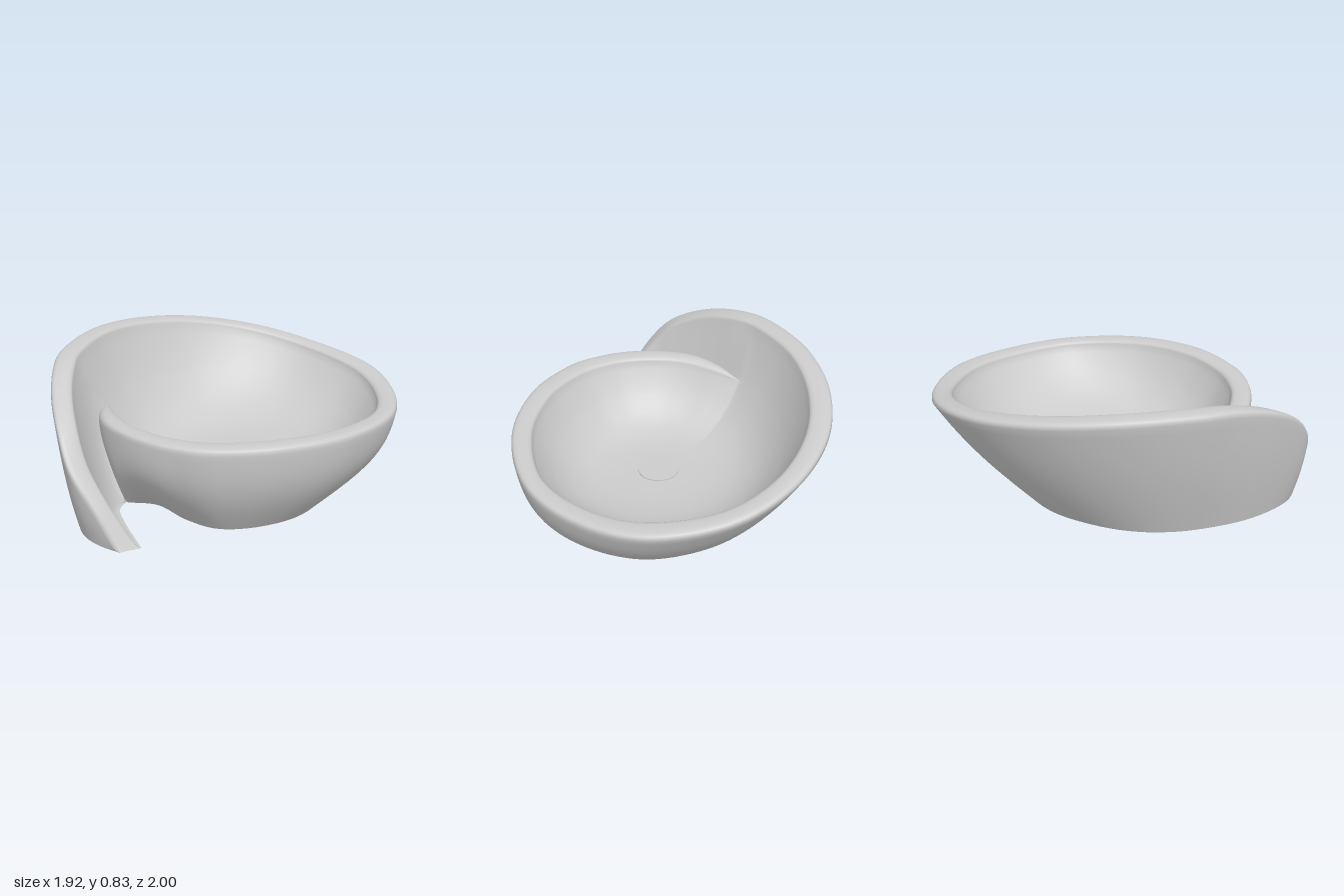
import * as THREE from 'three';
import { mergeVertices } from 'three/addons/utils/BufferGeometryUtils.js';

const material = new THREE.MeshStandardMaterial({ color: 0xcccccc, side: THREE.DoubleSide });

// Spiral stations: base x,z | outer rim x,z | inner rim x,z | rim height
const bowlRows = [
  [-0.68, 0.24, -0.70, 0.28, -0.64, 0.23, 0.53],
  [-0.62, 0.35, -0.65, 0.44, -0.55, 0.40, 0.555],
  [-0.53, 0.41, -0.55, 0.58, -0.44, 0.53, 0.56],
  [-0.34, 0.42, -0.38, 0.72, -0.30, 0.63, 0.565],
  [-0.15, 0.57, -0.19, 0.81, -0.16, 0.69, 0.57],
  [0.05, 0.65, 0.05, 0.845, 0.05, 0.715, 0.575],
  [0.28, 0.58, 0.40, 0.755, 0.34, 0.64, 0.58],
  [0.48, 0.40, 0.73, 0.50, 0.63, 0.43, 0.565],
  [0.59, 0.10, 0.94, 0.10, 0.83, 0.08, 0.54],
  [0.56, -0.15, 0.935, -0.31, 0.815, -0.29, 0.535],
  [0.42, -0.37, 0.76, -0.69, 0.66, -0.60, 0.555],
  [0.18, -0.50, 0.39, -0.94, 0.34, -0.83, 0.595],
  [-0.05, -0.52, 0.00, -1.00, 0.00, -0.88, 0.665],
  [-0.30, -0.45, -0.38, -0.89, -0.33, -0.77, 0.735],
  [-0.52, -0.28, -0.68, -0.64, -0.59, -0.54, 0.79],
  [-0.66, -0.10, -0.88, -0.29, -0.76, -0.24, 0.825],
  [-0.74, 0.10, -0.96, 0.10, -0.83, 0.10, 0.825],
];
const tailRows = [
  [-0.77, 0.30, -0.94, 0.35, -0.82, 0.31, 0.80],
  [-0.77, 0.50, -0.88, 0.59, -0.775, 0.53, 0.73],
  [-0.73, 0.69, -0.79, 0.80, -0.70, 0.72, 0.61],
  [-0.66, 0.84, -0.70, 0.92, -0.62, 0.83, 0.45],
  [-0.55, 0.94, -0.56, 0.97, -0.49, 0.90, 0.25],
  [-0.42, 1.00, -0.42, 1.00, -0.33, 0.93, 0.02],
];
const V = (x, y, z) => new THREE.Vector3(x, y, z);
const { lerp, clamp, smoothstep } = THREE.MathUtils;
const FLOOR = 0.18, GROUND = 0.02, CX = -0.005, CZ = 0.07, EDGE = 0.843, CURVE = 4;
const WALL = 14, RIM = 10, UPPER = 8, LOWER = 16, STEP = 8;

// The spiral starts on the bowl wall, at fraction EDGE of the last bowl station
const [, , , , wallX, wallZ, wallY] = bowlRows.at(-1);
const START = V(lerp(CX, wallX, EDGE), FLOOR + (wallY - 0.04 - FLOOR) * EDGE ** CURVE, lerp(CZ, wallZ, EDGE));
const startRow = [START.x, START.z, START.x, START.z, START.x, START.z, START.y];
const rows = [startRow, ...bowlRows, ...tailRows];
const SPLIT = bowlRows.length, END = rows.length - 1;

// Open edge of the channel, from the notch out to the tail tip
const notchEdge = new THREE.CatmullRomCurve3([
  V(-0.53, GROUND, 0.41), V(-0.54, GROUND, 0.51), V(-0.48, GROUND, 0.65), V(-0.32, GROUND, 0.93)]);

// Catmull-Rom between stations
function station(u) {
  const i = Math.min(Math.floor(u), END - 1), t = u - i;
  const row = k => rows[clamp(k, 0, END)];
  return row(i).map((b, c) => {
    const a = row(i - 1)[c], d = row(i + 1)[c], e = row(i + 2)[c];
    return b + 0.5 * t * (d - a + t * (2 * a - 5 * b + 4 * d - e + t * (3 * (b - d) + e - a)));
  });
}

// Lowest outer point; the first stations climb the channel valley
function basePoint(u) {
  const s = station(u);
  return V(s[0], lerp(START.y, GROUND, Math.min(1, u / 3) ** 1.6), s[1]);
}

// Where the tail's inner face ends: in the valley, then along the notch
const footPoint = k => k <= 3 ? basePoint(k) : notchEdge.getPoint((k - 3) / 3);

function rimShape(u) {
  const [, , ox, oz, ix, iz, y] = station(u);
  const width = Math.hypot(ox - ix, oz - iz);
  const h = Math.min(0.04, width * 0.4, Math.max(0, y - GROUND) * 0.8);
  return { outer: V(ox, y - h, oz), inner: V(ix, y - h, iz), h, width };
}

// Bulged outer wall, t from base to rim
function wallPoint(u, t) {
  const base = basePoint(u), { outer } = rimShape(u);
  const bulge = u < 9 ? lerp(0.32, 0.24, smoothstep(u, 4, 6))
    : lerp(0.24, 0.07, smoothstep(u, 9, 13)) + 0.06 * smoothstep(u, 16, 19);
  const f = t + bulge * Math.sin(Math.PI * t);
  return V(lerp(base.x, outer.x, f), lerp(base.y, outer.y, t), lerp(base.z, outer.z, f));
}

// Bowl surface, s from centre to inner rim
function bowlPoint(u, s) {
  const { inner } = rimShape(u);
  return V(lerp(CX, inner.x, s), FLOOR + (inner.y - FLOOR) * s ** CURVE, lerp(CZ, inner.z, s));
}

// Full cross-section: outer wall, rounded rim, inner wall, bowl floor
function section(u) {
  const pts = [], { outer, inner, h } = rimShape(u);
  const round = lerp(1, 0.65, smoothstep(u, 1, 4));
  for (let j = 0; j < WALL; j++) pts.push(wallPoint(u, j / WALL));
  for (let j = 0; j < RIM; j++) {
    const a = Math.PI * j / RIM, c = Math.cos(a);
    const p = outer.clone().lerp(inner, (1 - Math.sign(c) * Math.abs(c) ** round) / 2);
    p.y += h * Math.sin(a) ** round;
    pts.push(p);
  }
  const k = u - SPLIT, edge = lerp(1, EDGE, Math.min(1, u / 2));
  for (let j = 0; j <= UPPER + LOWER; j++) {
    if (k > 0) {
      const s = Math.min(1, j / UPPER), foot = footPoint(k);
      const p = inner.clone().lerp(foot, s);
      p.y = foot.y + (inner.y - foot.y) * (1 - s) ** Math.min(2, 1.1 + 0.3 * k);
      pts.push(p);
    } else {
      pts.push(bowlPoint(u, j <= UPPER ? lerp(1, edge, j / UPPER) : edge * (1 - (j - UPPER) / LOWER)));
    }
  }
  return pts;
}

// Base edge moved inward by the wall thickness
function inwardOffset(u) {
  const a = basePoint(u - 0.05), b = basePoint(Math.min(END, u + 0.05));
  const d = V(b.z - a.z, 0, a.x - b.x).normalize();
  return d.multiplyScalar(Math.min(0.06, rimShape(u).width * 0.5));
}

// Smooth surface from rows of points, welded where it meets itself
function loft(name, grid, keep = () => true) {
  const cols = grid[0].length, index = [];
  for (let i = 0; i < grid.length - 1; i++) for (let j = 0; j < cols - 1; j++) {
    if (!keep(i, j)) continue;
    const a = i * cols + j, b = a + cols;
    index.push(a, b, a + 1, b, b + 1, a + 1);
  }
  const sheet = new THREE.BufferGeometry().setFromPoints(grid.flat());
  sheet.setIndex(index);
  const geometry = mergeVertices(sheet, 1e-4);
  geometry.computeVertexNormals();
  const mesh = new THREE.Mesh(geometry, material);
  mesh.name = name;
  return mesh;
}

export function createModel() {
  const model = new THREE.Group();
  model.name = 'spiralWashbasin';
  const us = Array.from({ length: END * STEP + 1 }, (_, i) => i / STEP);

  // Spiral shell: bowl plus tail; tail rows stop at the channel foot
  model.add(loft('spiralBasin', us.map(section),
    (i, j) => i < SPLIT * STEP || j < WALL + RIM + UPPER));

  // Underside of the bowl
  model.add(loft('bowlUnderside', us.filter(u => u <= SPLIT).map(u =>
    Array.from({ length: LOWER + 1 }, (_, j) => bowlPoint(u, j / LOWER).add(V(0, -0.05, 0))))));

  // Base lip and hollow inner wall, starting at the notch
  const footing = us.filter(u => u >= 3);
  model.add(loft('baseLip', footing.map(u => [basePoint(u).add(inwardOffset(u)), basePoint(u)])));
  model.add(loft('hollowWall', footing.map(u => {
    const o = inwardOffset(u);
    return Array.from({ length: WALL + 1 }, (_, j) => wallPoint(u, 1 - j / WALL).add(o));
  })));

  // Lip under the notch edge of the tail
  model.add(loft('notchLip', us.filter(u => u <= 3).map(u => {
    const foot = footPoint(u + 3), across = basePoint(SPLIT + 3 + u).sub(foot).setLength(0.05);
    const inward = inwardOffset(3).lerp(across, Math.min(1, u / 1.5)).setLength(0.05);
    return [foot, foot.clone().add(inward)];
  })));

  // Drain cover and outlet pipe
  const drain = new THREE.Group();
  drain.name = 'drain';
  drain.position.set(CX, 0, CZ);
  const cover = new THREE.Mesh(new THREE.CylinderGeometry(0.122, 0.122, 0.02, 48), material);
  cover.name = 'drainCover';
  cover.position.y = 0.176;
  const profile = [[0.075, 0.13], [0.075, 0], [0.09, 0], [0.09, 0.08], [0.1, 0.105], [0.13, 0.12], [0.13, 0.135]];
  const pipe = new THREE.Mesh(
    new THREE.LatheGeometry(profile.map(p => new THREE.Vector2(...p)), 48), material);
  pipe.name = 'drainPipe';
  drain.add(cover, pipe);
  model.add(drain);
  return model;
}
